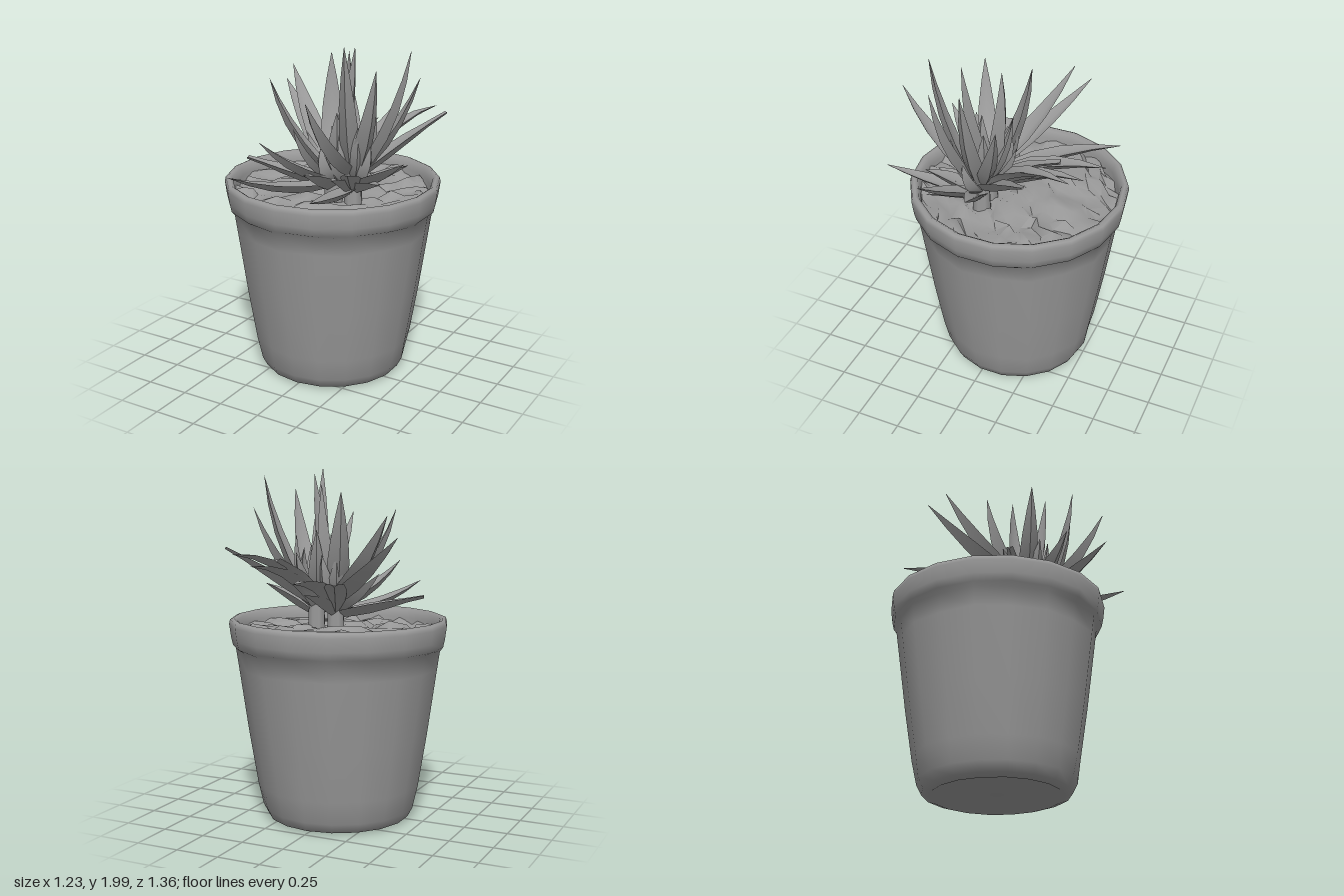
import * as THREE from 'three';
import { mergeVertices, toCreasedNormals } from 'three/addons/utils/BufferGeometryUtils.js';

const grey = new THREE.MeshStandardMaterial({ color: 0x999999 });
grey.name = 'plainGrey';
const POT_Z = -0.065;

function addMesh(parent, name, geometry) {
  const mesh = new THREE.Mesh(geometry, grey);
  mesh.name = name;
  parent.add(mesh);
  return mesh;
}

// Repeatable noise in the range 0..1
function makeRandom(seed) {
  return () => {
    seed = (seed * 16807) % 2147483647;
    return seed / 2147483647;
  };
}

// Weld the seam so that normals run smoothly around
function weld(geometry) {
  geometry.deleteAttribute('uv');
  geometry.deleteAttribute('normal');
  return mergeVertices(geometry, 1e-4);
}

// Tapering pot with a thick rounded rim, softly fluted below the rim
function potGeometry() {
  const profile = [
    [0, 0.012], [0.34, 0.012], [0.365, 0], [0.41, 0.015], [0.438, 0.07], [0.462, 0.2], [0.51, 0.5],
    [0.563, 0.88], [0.578, 0.985], [0.602, 1.005], [0.612, 1.05], [0.622, 1.125],
    [0.616, 1.15], [0.598, 1.158], [0.578, 1.145], [0.566, 1.1], [0.556, 1.02],
  ].map(([r, y]) => new THREE.Vector2(r, y));
  const g = weld(new THREE.LatheGeometry(profile, 18));
  const p = g.attributes.position;
  for (let i = 0; i < p.count; i++) {
    const x = p.getX(i), y = p.getY(i), z = p.getZ(i);
    if (y > 0.1 && y < 0.99) {
      const k = 1 + 0.012 * Math.cos(9 * Math.atan2(x, z));
      p.setXYZ(i, x * k, y, z * k);
    }
  }
  return toCreasedNormals(g, 1.2);
}

// Lumpy gravel surface: a jittered grid folded onto a disc
function soilGeometry() {
  const random = makeRandom(77);
  const g = weld(new THREE.PlaneGeometry(2, 2, 16, 16).rotateX(-Math.PI / 2));
  const p = g.attributes.position;
  for (let i = 0; i < p.count; i++) {
    const u = p.getX(i), v = p.getZ(i);
    const edge = Math.max(Math.abs(u), Math.abs(v)) > 0.99;
    const j = edge ? 0 : 0.05;
    const x = 0.565 * u * Math.sqrt(1 - v * v / 2), z = 0.565 * v * Math.sqrt(1 - u * u / 2);
    p.setXYZ(i, x + (random() - 0.5) * j, 1.075 + (random() - 0.5) * 0.06,
      z + (random() - 0.5) * j);
  }
  return toCreasedNormals(g, 1);
}

// Pointed leaf: a keeled, channelled section swept along a bent path
function leafGeometry(base, tip, halfWidth, bend, tipWidth = 0.02) {
  const out = new THREE.Vector3(tip.x - base.x, 0, tip.z - base.z).normalize();
  const side = out.clone().cross(new THREE.Vector3(0, 1, 0)).normalize();
  const along = tip.clone().sub(base).normalize();
  const control = base.clone().lerp(tip, 0.45).addScaledVector(side.clone().cross(along), bend);
  const path = new THREE.QuadraticBezierCurve3(base, control, tip);
  const rings = [[0, 0.8], [0.15, 0.95], [0.35, 1], [0.58, 0.8], [0.8, 0.45], [1, tipWidth]];
  const section = [[1, 0.3], [0, -0.65], [-1, 0.3], [0, -0.05]];
  const pos = [], index = [];
  rings.forEach(([t, w], i) => {
    const c = path.getPoint(t);
    const n = side.clone().cross(path.getTangent(t));
    for (const [s, h] of section) {
      const v = c.clone().addScaledVector(side, s * w * halfWidth).addScaledVector(n, h * w * halfWidth);
      pos.push(v.x, v.y, v.z);
    }
    for (let j = 0; i > 0 && j < 4; j++) {
      const a = (i - 1) * 4 + j, b = (i - 1) * 4 + (j + 1) % 4;
      index.push(a, b, b + 4, a, b + 4, a + 4);
    }
  });
  // Cap the tip
  index.push(20, 21, 23, 21, 22, 23);
  const g = new THREE.BufferGeometry();
  g.setAttribute('position', new THREE.Float32BufferAttribute(pos, 3));
  g.setIndex(index);
  return toCreasedNormals(g, 0.9);
}

// Each leaf: tip x, y, z, half width, bend, and tip width where it is blunt
const LEFT_CROWN = { x: 0.21, z: 0.07, leaves: [
  [0.29, 1.99, 0.32, 0.055, -0.07],
  [0.53, 1.95, 0.03, 0.052, -0.09],
  [0.44, 1.87, 0.25, 0.055, -0.08],
  [0.61, 1.40, 0.25, 0.05, -0.02],
  [0.58, 1.55, -0.33, 0.055, 0.02, 0.25],
  [0.43, 1.53, -0.52, 0.055, 0.16],
  [0.29, 1.47, -0.55, 0.055, 0.14],
  [0.22, 1.5, -0.39, 0.055, 0.08, 0.4],
  [0.27, 1.24, 0.63, 0.05, -0.02],
  [0.19, 1.73, 0.54, 0.055, -0.1],
  [0.50, 1.77, -0.15, 0.05, -0.07],
  [0.52, 1.32, 0.02, 0.055, 0.02],
  [0.48, 1.27, 0.27, 0.05, 0.03],
  [0.33, 1.32, 0.35, 0.06, 0.02],
  [0.22, 1.27, 0.33, 0.06, 0.03],
] };
const RIGHT_CROWN = { x: 0.09, z: 0.08, leaves: [
  [0.26, 1.96, 0.15, 0.055, -0.05],
  [0.13, 1.90, -0.02, 0.06, -0.06],
  [-0.04, 1.86, -0.12, 0.065, -0.07],
  [-0.22, 1.76, 0.24, 0.055, -0.08],
  [-0.37, 1.74, -0.24, 0.065, -0.08],
  [-0.46, 1.63, -0.31, 0.065, -0.05],
  [-0.22, 1.39, -0.58, 0.065, 0.1],
  [0.02, 1.39, -0.58, 0.07, 0.12],
  [-0.42, 1.27, 0.18, 0.06, 0, 0.3],
  [-0.17, 1.45, 0.43, 0.055, -0.06],
  [-0.21, 1.31, 0.67, 0.055, -0.07],
  [-0.20, 1.40, 0.05, 0.055, -0.02],
  [0.06, 1.28, 0.35, 0.06, 0.02],
  [0.10, 1.30, -0.30, 0.055, 0.03],
] };

function crown(name, { x, z, leaves }, seed) {
  const group = new THREE.Group();
  group.name = name;
  const random = makeRandom(seed);
  const add = (part, tx, ty, tz, w, bend, tipWidth) => {
    const d = new THREE.Vector2(tx - x, tz - z).normalize().multiplyScalar(0.035);
    const lift = THREE.MathUtils.clamp(ty - 1.25, 0, 0.4) * 0.25;
    const base = new THREE.Vector3(x + d.x, 1.16 + lift, z + d.y);
    addMesh(group, part, leafGeometry(base, new THREE.Vector3(tx, ty, tz), w, bend, tipWidth));
  };
  leaves.forEach((leaf) => add('longLeaf', ...leaf));
  // Shorter leaves filling the heart of the crown
  for (let i = 0; i < 9; i++) {
    const a = i * 2.4, r = 0.08 + 0.16 * random();
    add('shortLeaf', x + r * Math.cos(a), 1.4 + 0.3 * random(), z + r * Math.sin(a), 0.05, -0.05);
  }
  // Stem
  addMesh(group, 'stem', new THREE.CylinderGeometry(0.045, 0.055, 0.26, 8)).position.set(x, 1.15, z);
  return group;
}

export function createModel() {
  const model = new THREE.Group();
  model.name = 'pottedSucculent';
  addMesh(model, 'pot', potGeometry()).position.z = POT_Z;
  addMesh(model, 'soil', soilGeometry()).position.z = POT_Z;
  model.add(crown('leftCrown', LEFT_CROWN, 11), crown('rightCrown', RIGHT_CROWN, 29));
  return model;
}
